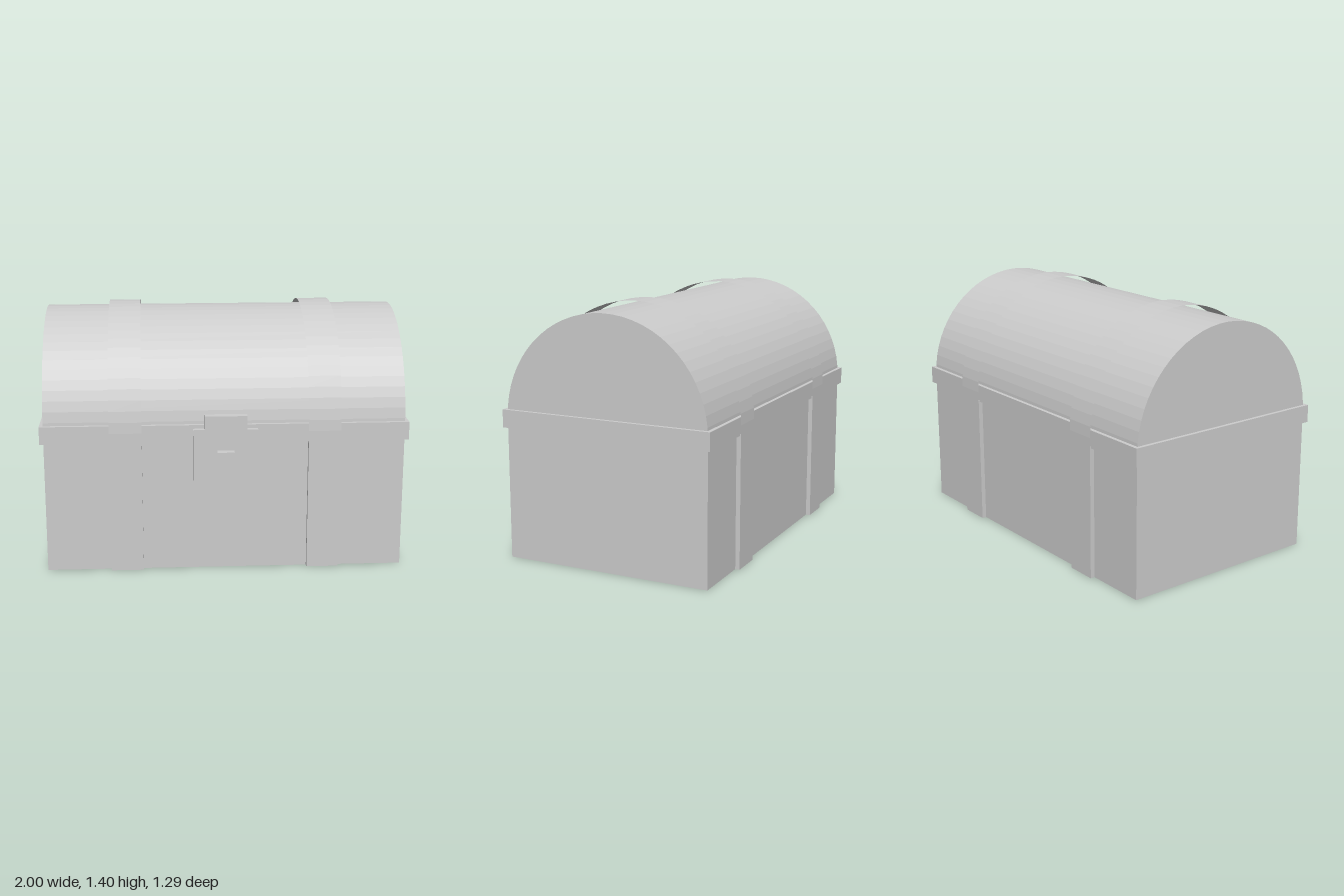
import * as THREE from 'three';

const CENTER_Z = -0.03;   // chest body sits slightly behind the lock
const LID_Y = 0.785;      // spring line of the arched lid
const SEGMENTS = 32;

const material = new THREE.MeshStandardMaterial({ color: 0xcccccc, flatShading: true });
const sheetMaterial = new THREE.MeshStandardMaterial({
  color: 0xcccccc, flatShading: true, side: THREE.DoubleSide,
});

// Box given by its extents on each axis
function box(name, [x0, x1], [y0, y1], [z0, z1]) {
  const mesh = new THREE.Mesh(new THREE.BoxGeometry(x1 - x0, y1 - y0, z1 - z0), material);
  mesh.position.set((x0 + x1) / 2, (y0 + y1) / 2, (z0 + z1) / 2);
  mesh.name = name;
  return mesh;
}

// Half-circle points in the cross-section plane
function arch(radius) {
  return Array.from({ length: SEGMENTS + 1 }, (_, i) => {
    const a = (i / SEGMENTS) * Math.PI;
    return new THREE.Vector2(Math.cos(a) * radius, Math.sin(a) * radius);
  });
}

// Solid half-barrel lid
function makeLid(radius, width) {
  const geometry = new THREE.ExtrudeGeometry(new THREE.Shape(arch(radius)), {
    depth: width, bevelEnabled: false,
  });
  geometry.translate(0, 0, -width / 2).rotateY(Math.PI / 2);
  const lid = new THREE.Mesh(geometry, material);
  lid.position.set(0, LID_Y, CENTER_Z);
  lid.name = 'lid';
  return lid;
}

// Thin open band bent over the lid, with short straight ends across the rim
function makeLidStrap(radius, width, drop) {
  const profile = arch(radius);
  profile.unshift(new THREE.Vector2(radius, -drop));
  profile.push(new THREE.Vector2(-radius, -drop));
  const geometry = new THREE.PlaneGeometry(width, 1, 1, profile.length - 1);
  const position = geometry.attributes.position;
  for (let i = 0; i < position.count; i++) {
    // plane rows run from top to bottom; reversed so that faces point outwards
    const p = profile[profile.length - 1 - Math.floor(i / 2)];
    position.setXYZ(i, position.getX(i), p.y, p.x);
  }
  geometry.computeVertexNormals();
  const strap = new THREE.Mesh(geometry, sheetMaterial);
  strap.name = 'lidStrap';
  return strap;
}

export function createModel() {
  const chest = new THREE.Group();
  chest.name = 'chest';

  // Body, lid and the rim between them
  chest.add(box('body', [-0.98, 0.98], [0, LID_Y], [-0.618, 0.558]));
  chest.add(makeLid(0.588, 1.96));
  chest.add(box('rim', [-1, 1], [0.728, 0.826], [-0.637, 0.577]));

  // Two straps, each a flat lower part and a band over the lid
  for (const side of [-1, 1]) {
    const x = side * 0.54;
    chest.add(box('bodyStrap', [x - 0.088, x + 0.088], [0, 0.736], [-0.643, 0.583]));
    const band = makeLidStrap(0.613, 0.176, LID_Y - 0.736);
    band.position.set(x, LID_Y, CENTER_Z);
    chest.add(band);
  }

  // Lock on the front
  const lock = new THREE.Group();
  lock.name = 'lock';
  lock.add(box('lockPlate', [-0.175, 0.175], [0.493, 0.806], [0.55, 0.606]));
  lock.add(box('hasp', [-0.115, 0.115], [0.77, 0.886], [0.58, 0.627]));
  lock.add(box('lockKnob', [-0.046, 0.046], [0.592, 0.69], [0.6, 0.648]));
  chest.add(lock);

  return chest;
}
